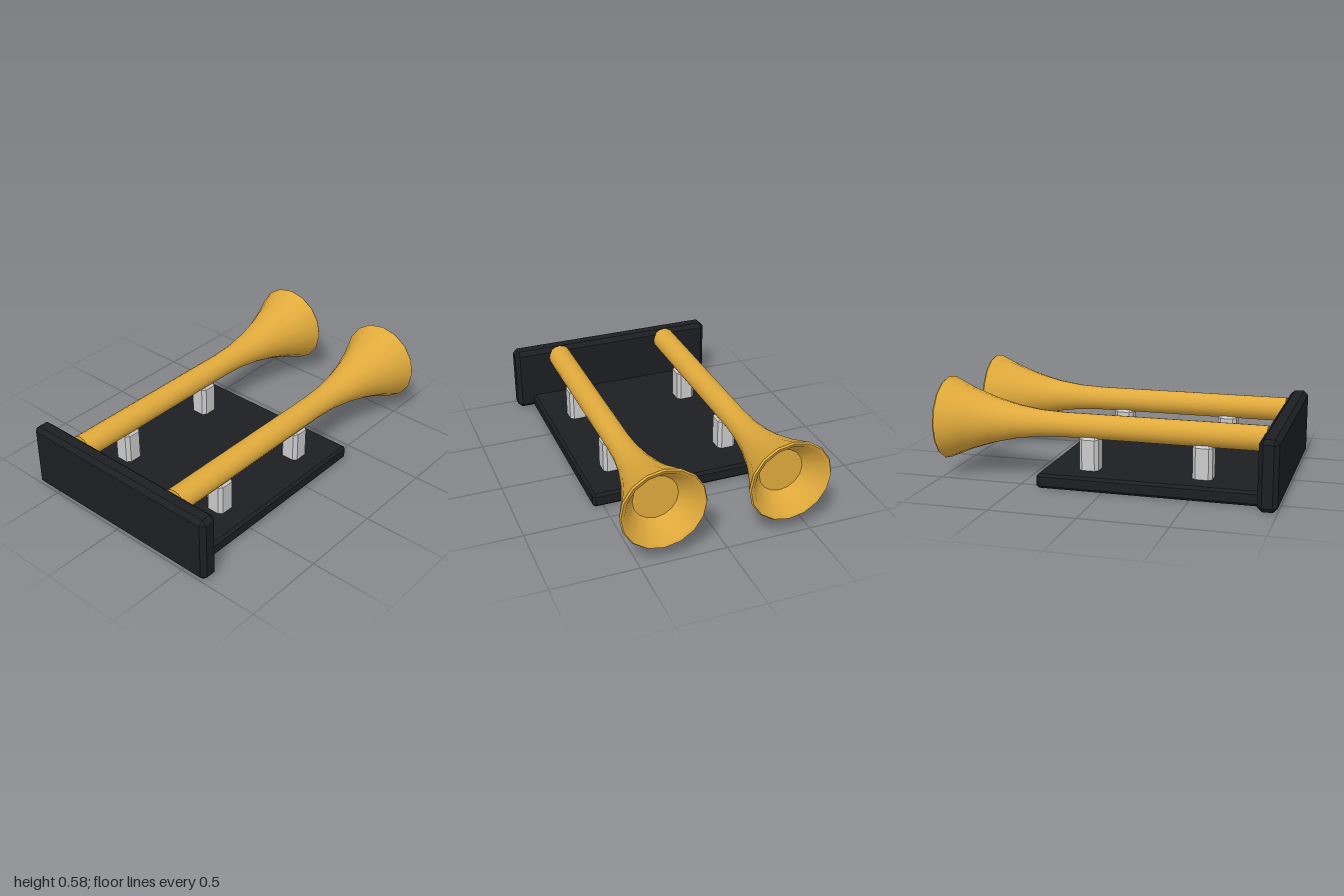
import * as THREE from 'three';
import { ConvexGeometry } from 'three/addons/geometries/ConvexGeometry.js';
import { toCreasedNormals } from 'three/addons/utils/BufferGeometryUtils.js';

const black = new THREE.MeshStandardMaterial({ color: 0x1c1e22 });
const gold = new THREE.MeshStandardMaterial({ color: 0xe0aa3c });
const grey = new THREE.MeshStandardMaterial({ color: 0xcccccc });

// Box with every edge cut at 45 degrees
function chamferBox(w, h, d, c) {
  const points = [];
  const [x, y, z] = [w / 2, h / 2, d / 2];
  for (const sx of [-1, 1]) for (const sy of [-1, 1]) for (const sz of [-1, 1]) {
    points.push(
      new THREE.Vector3(sx * x, sy * (y - c), sz * (z - c)),
      new THREE.Vector3(sx * (x - c), sy * y, sz * (z - c)),
      new THREE.Vector3(sx * (x - c), sy * (y - c), sz * z));
  }
  return new ConvexGeometry(points);
}

// Horn turned about its own axis: straight pipe, flared bell, rim and closed throat
function hornGeometry() {
  const pipe = 0.0725, mouth = 0.245, front = -0.9, flare = 0.28, end = 0.99;
  const profile = [[0, front], [pipe, front]];
  const steps = 5;
  for (let i = 0; i <= steps; i++) {
    const t = i / steps;
    profile.push([pipe + (mouth - pipe) * t * t, flare + (end - flare) * t]);
  }
  profile.push([0.238, 1], [0.215, 0.99], [0.13, 0.87], [0, 0.87]);
  const geometry = new THREE.LatheGeometry(profile.map(([r, y]) => new THREE.Vector2(r, y)), 16);
  geometry.rotateX(-Math.PI / 2); // bell points to the back
  return toCreasedNormals(geometry, 0.6);
}

export function createModel() {
  const model = new THREE.Group();
  const add = (name, geometry, material, x, y, z) => {
    const mesh = new THREE.Mesh(geometry, material);
    mesh.name = name;
    mesh.position.set(x, y, z);
    model.add(mesh);
  };

  // Base plate and upright front panel
  add('basePlate', chamferBox(1.12, 0.085, 1.29, 0.016), black, 0, 0.0425, 0.255);
  add('frontPanel', chamferBox(1.32, 0.4, 0.11, 0.026), black, 0, 0.2, 0.945);

  // Two horns, each on two posts
  const horn = hornGeometry();
  const post = chamferBox(0.115, 0.22, 0.115, 0.02);
  for (const side of [-1, 1]) {
    const x = side * 0.365;
    const label = side > 0 ? 'left' : 'right';
    add(label + 'Horn', horn, gold, x, 0.335, 0);
    add(label + 'FrontPost', post, grey, x, 0.175, 0.543);
    add(label + 'BackPost', post, grey, x, 0.175, -0.12);
  }
  return model;
}
